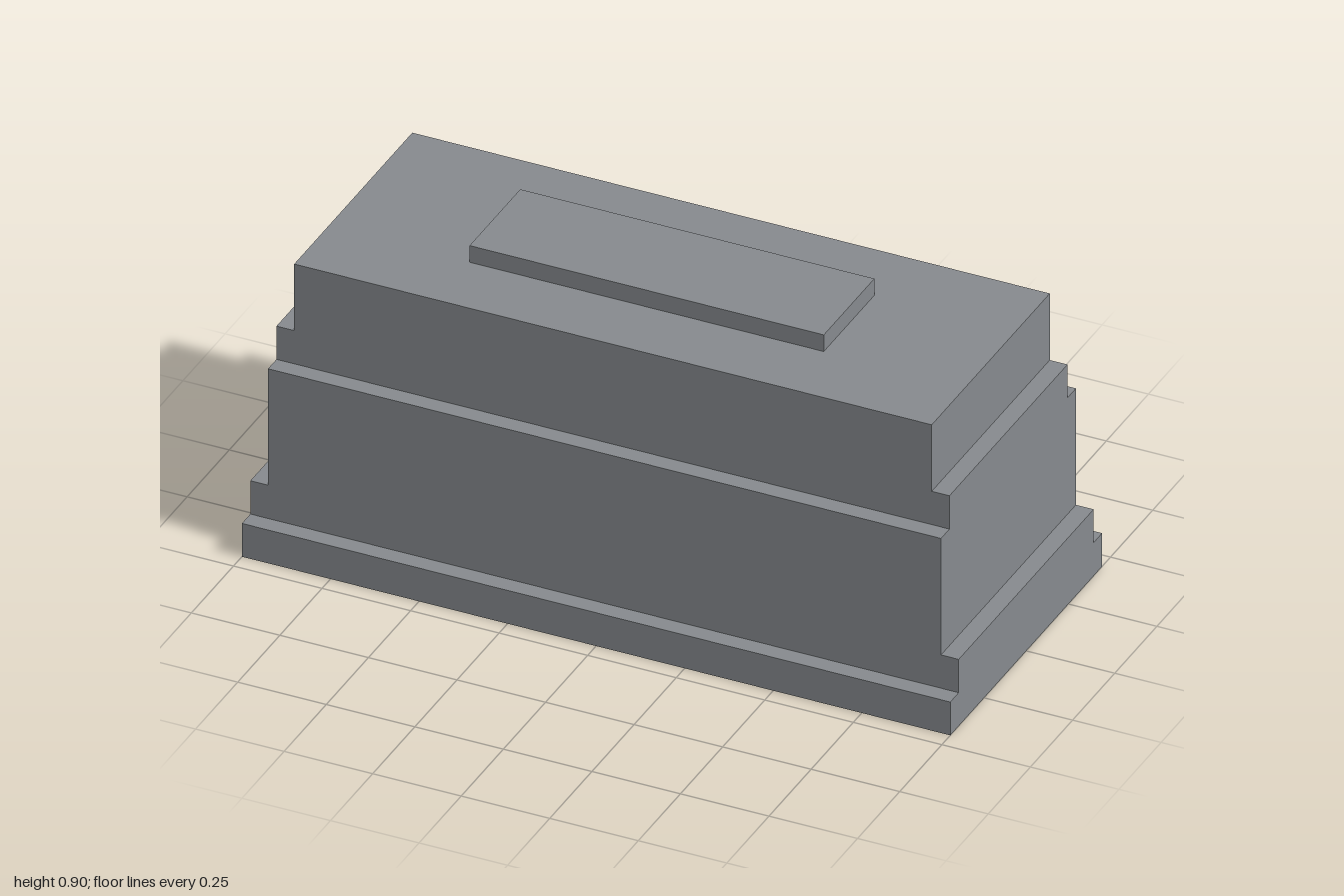
import * as THREE from 'three';

export function createModel() {
  const group = new THREE.Group();
  const stone = new THREE.MeshStandardMaterial({ color: 0x868a8e });
  stone.name = 'grey stone';

  // Stacked tiers: name, width, depth, bottom, top
  const tiers = [
    ['basePlinth', 2.0, 0.9, 0, 0.1],
    ['baseStep', 2.0, 0.8, 0.1, 0.2],
    ['mainBody', 1.9, 0.8, 0.2, 0.55],
    ['shoulder', 1.9, 0.7, 0.55, 0.65],
    ['upperBlock', 1.8, 0.7, 0.65, 0.85],
    ['topPlate', 1.0, 0.3, 0.85, 0.9],
  ];
  for (const [name, width, depth, bottom, top] of tiers) {
    const tier = new THREE.Mesh(new THREE.BoxGeometry(width, top - bottom, depth), stone);
    tier.name = name;
    tier.position.y = (bottom + top) / 2;
    group.add(tier);
  }
  return group;
}
